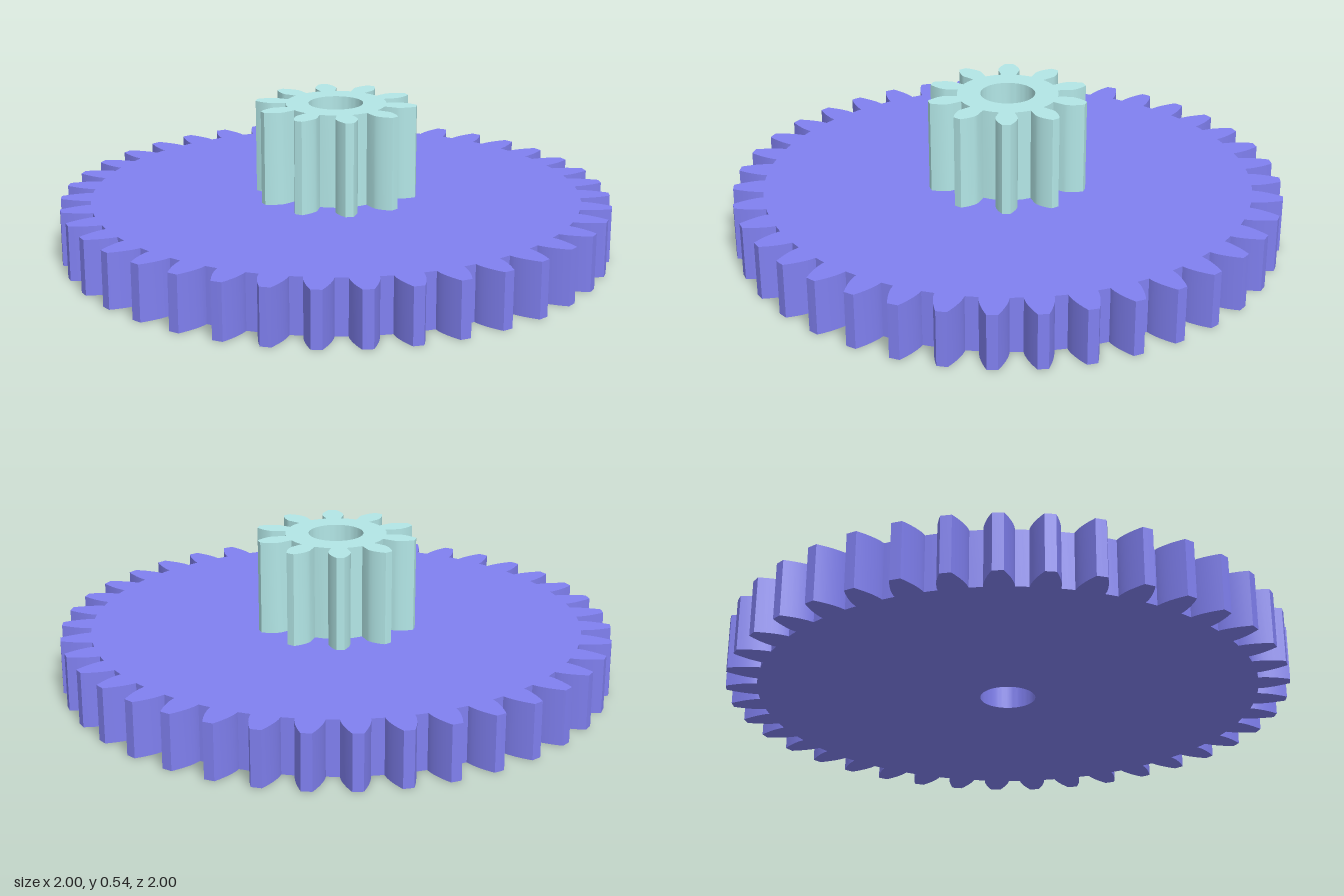
import * as THREE from 'three';
import { toCreasedNormals } from 'three/addons/utils/BufferGeometryUtils.js';

const MODULE = 0.0489;                    // gear module: pitch diameter / teeth
const PRESSURE = THREE.MathUtils.degToRad(20);
const BORE = 0.099;
const involute = (a) => Math.tan(a) - a;

// Half profile of one tooth, root to tip, as [radius, half angle]
function toothFlank(teeth) {
  const pitch = MODULE * teeth / 2;
  const base = pitch * Math.cos(PRESSURE);
  const root = pitch - 1.25 * MODULE;
  const tip = pitch + MODULE;
  const start = Math.max(root, base);
  const half = Math.PI / (2 * teeth) + involute(PRESSURE);
  const flank = [];
  // small gears are slightly undercut below the base circle
  if (root < base) flank.push([root, half * (base - root > 0.02 ? 0.88 : 1)]);
  for (let i = 0; i <= 6; i++) {
    const r = start + (tip - start) * i / 6;
    flank.push([r, half - involute(Math.acos(Math.min(1, base / r)))]);
  }
  return flank;
}

// Spur gear standing on y = 0 with a round bore
function gear(name, teeth, height, phase, color) {
  const flank = toothFlank(teeth);
  const points = [];
  const add = (r, a) => points.push(new THREE.Vector2(r * Math.cos(a), r * Math.sin(a)));
  for (let t = 0; t < teeth; t++) {
    const mid = phase + t * Math.PI * 2 / teeth;
    flank.forEach(([r, a]) => add(r, mid - a));
    add(flank.at(-1)[0], mid);
    [...flank].reverse().forEach(([r, a]) => add(r, mid + a));
    add(flank[0][0], mid + Math.PI / teeth);   // floor between teeth
  }
  const shape = new THREE.Shape(points);
  shape.holes.push(new THREE.Path().absarc(0, 0, BORE, 0, Math.PI * 2, true));
  const geometry = new THREE.ExtrudeGeometry(shape, { depth: height, bevelEnabled: false, curveSegments: 40 });
  geometry.rotateX(-Math.PI / 2);
  const mesh = new THREE.Mesh(toCreasedNormals(geometry, 0.3), new THREE.MeshStandardMaterial({ color }));
  mesh.name = name;
  return mesh;
}

export function createModel() {
  const group = new THREE.Group();
  group.name = 'compoundGear';

  const wheel = gear('largeGear', 39, 0.2, 0, 0x8080f0);
  const pinion = gear('pinion', 10, 0.34, THREE.MathUtils.degToRad(11), 0xb2e6e6);
  pinion.position.y = 0.2;

  group.add(wheel, pinion);
  group.position.x = -0.0015;   // odd tooth count: centre the outline
  return group;
}
